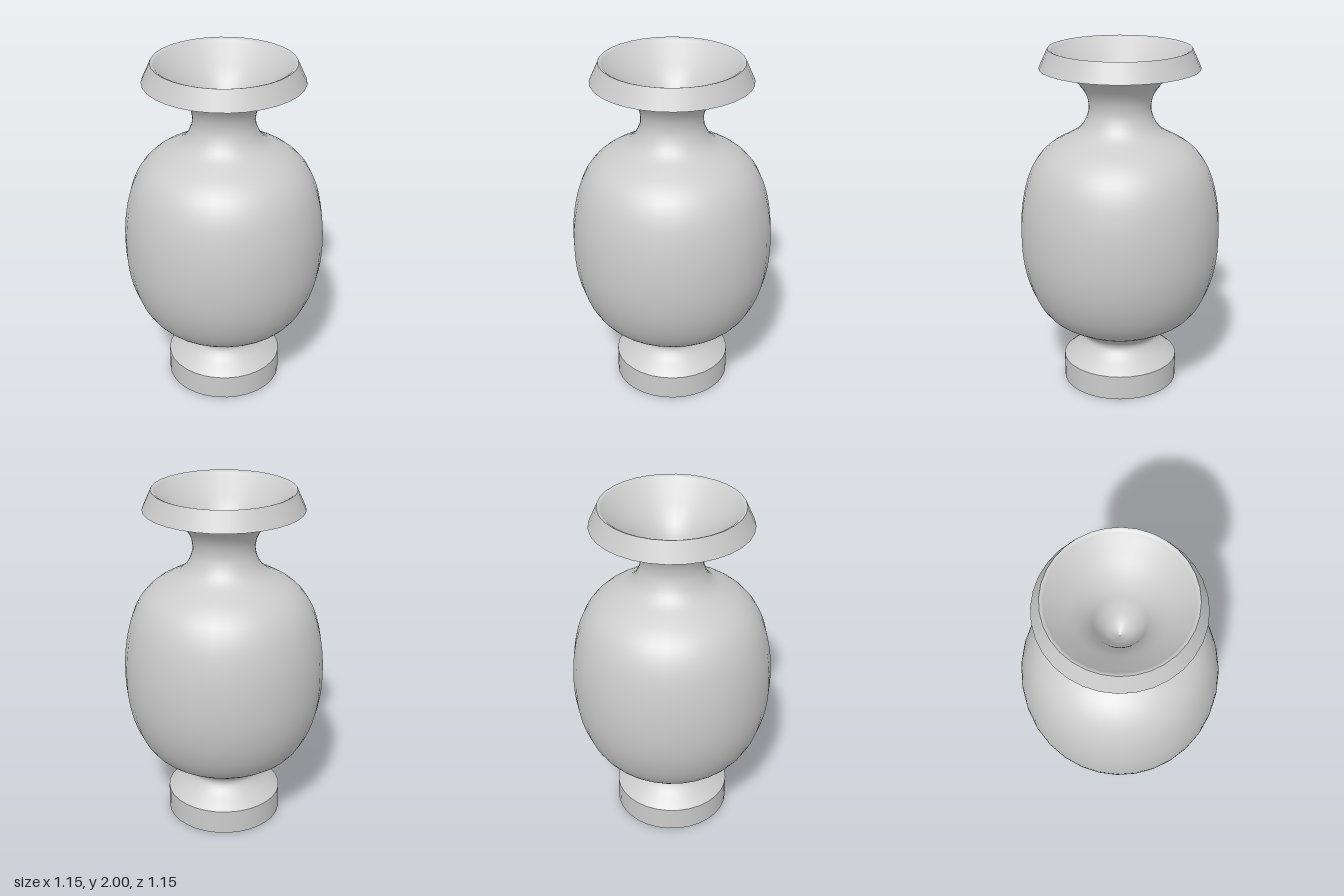
import * as THREE from 'three';

const SIDES = 32;
const material = new THREE.MeshStandardMaterial({ color: 0xcccccc, side: THREE.DoubleSide });

// Turns [radius, height] pairs; samples > 0 rounds the profile with a spline
function turned(name, pairs, samples = 0) {
  let points = pairs.map(([r, y]) => new THREE.Vector2(r, y));
  if (samples) points = new THREE.SplineCurve(points).getPoints(samples);
  points.forEach((p) => { p.x = Math.max(p.x, 0); });
  const mesh = new THREE.Mesh(new THREE.LatheGeometry(points, SIDES), material);
  mesh.name = name;
  return mesh;
}

export function createModel() {
  const vase = new THREE.Group();
  vase.name = 'vase';

  // Hollow foot ring, open underneath
  vase.add(turned('foot', [[0.335, 0], [0.335, 0.145]]));

  // Foot shoulder, waist, belly and flared neck in one smooth sweep
  vase.add(turned('body', [
    [0.335, 0.145], [0.295, 0.178], [0.25, 0.215], [0.222, 0.25], [0.215, 0.277],
    [0.232, 0.307], [0.29, 0.35], [0.37, 0.395], [0.435, 0.445], [0.493, 0.53],
    [0.54, 0.65], [0.567, 0.78], [0.575, 0.91], [0.57, 1.04], [0.552, 1.16],
    [0.52, 1.275], [0.47, 1.37], [0.4, 1.44], [0.32, 1.488], [0.255, 1.525],
    [0.21, 1.57], [0.182, 1.63], [0.176, 1.68], [0.187, 1.735], [0.22, 1.79],
    [0.27, 1.84], [0.335, 1.89],
  ], 78));

  // Overhanging lip: flat underside and slanted outer band
  vase.add(turned('lipUnderside', [[0.335, 1.89], [0.45, 1.89]]));
  vase.add(turned('lipBand', [[0.45, 1.89], [0.4, 2]]));

  // Rounded rim running into a funnel that closes inside the neck
  vase.add(turned('mouth', [
    [0.4, 2], [0.385, 1.994], [0.365, 1.975], [0.3, 1.915], [0.22, 1.84],
    [0.16, 1.76], [0.12, 1.67], [0.07, 1.59], [0, 1.53],
  ], 32));

  return vase;
}
